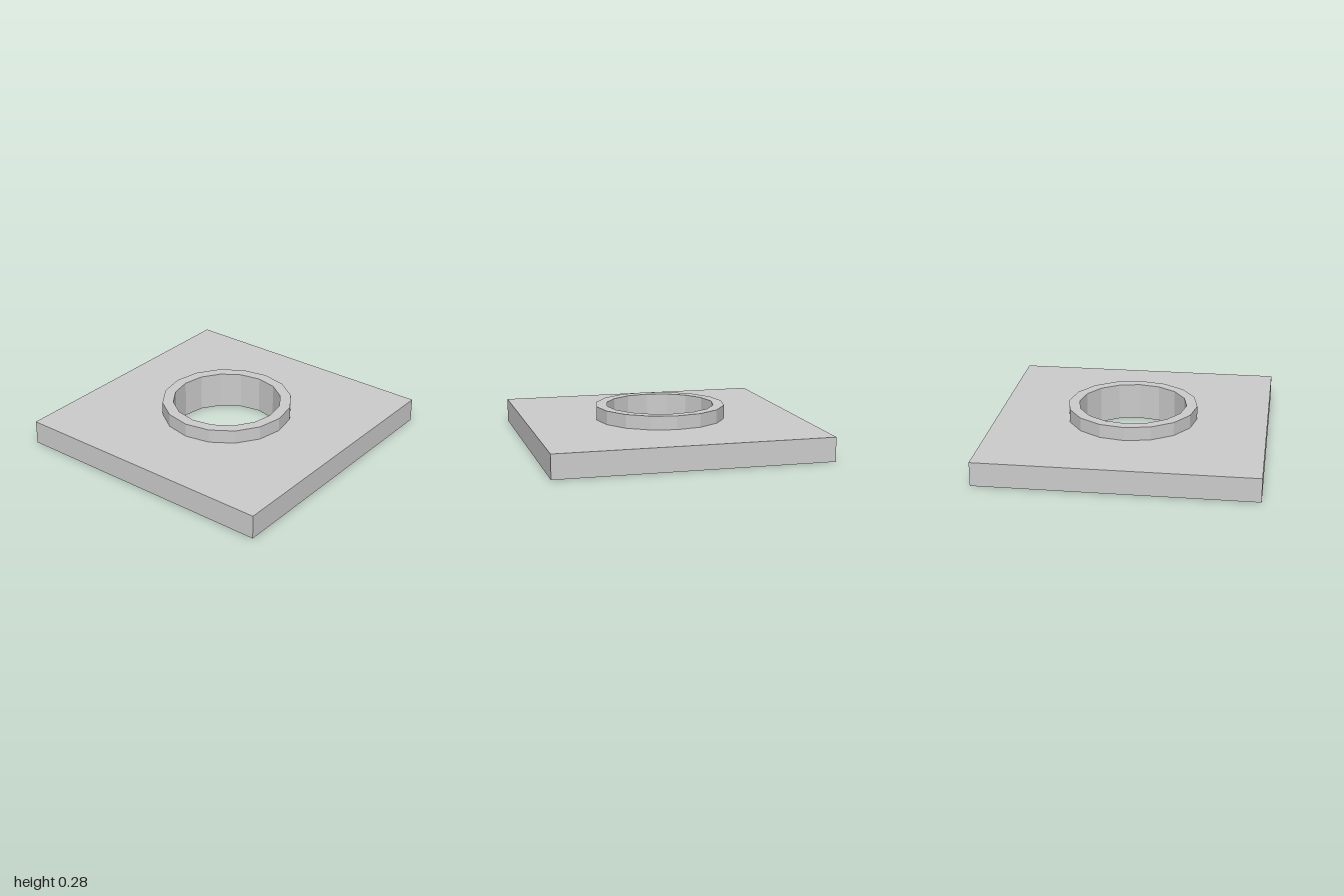
import * as THREE from 'three';

const SIDES = 16;
const HOLE_RADIUS = 0.4;
const COLLAR_RADIUS = 0.48;
const PLATE_TOP = 0.175;
const COLLAR_TOP = 0.275;

const material = new THREE.MeshStandardMaterial({ color: 0xcccccc, flatShading: true });

// Corners of a regular polygon with a corner on each axis
function polygon(radius) {
  return Array.from({ length: SIDES }, (_, i) => {
    const a = (i / SIDES) * Math.PI * 2;
    return new THREE.Vector2(radius * Math.cos(a), radius * Math.sin(a));
  });
}

// Outline pierced by the bore, raised from one height to another
function piercedSlab(name, outline, bottom, top) {
  const shape = new THREE.Shape(outline);
  shape.holes.push(new THREE.Path(polygon(HOLE_RADIUS)));
  const geometry = new THREE.ExtrudeGeometry(shape, { depth: top - bottom, bevelEnabled: false });
  geometry.rotateX(-Math.PI / 2);
  geometry.translate(0, bottom, 0);
  const mesh = new THREE.Mesh(geometry, material);
  mesh.name = name;
  return mesh;
}

export function createModel() {
  const group = new THREE.Group();
  group.name = 'flangePlate';

  // Square base plate
  const square = [[-1, -1], [1, -1], [1, 1], [-1, 1]].map(([x, y]) => new THREE.Vector2(x, y));
  group.add(piercedSlab('basePlate', square, 0, PLATE_TOP));

  // Raised collar around the bore
  group.add(piercedSlab('collar', polygon(COLLAR_RADIUS), PLATE_TOP, COLLAR_TOP));

  return group;
}
